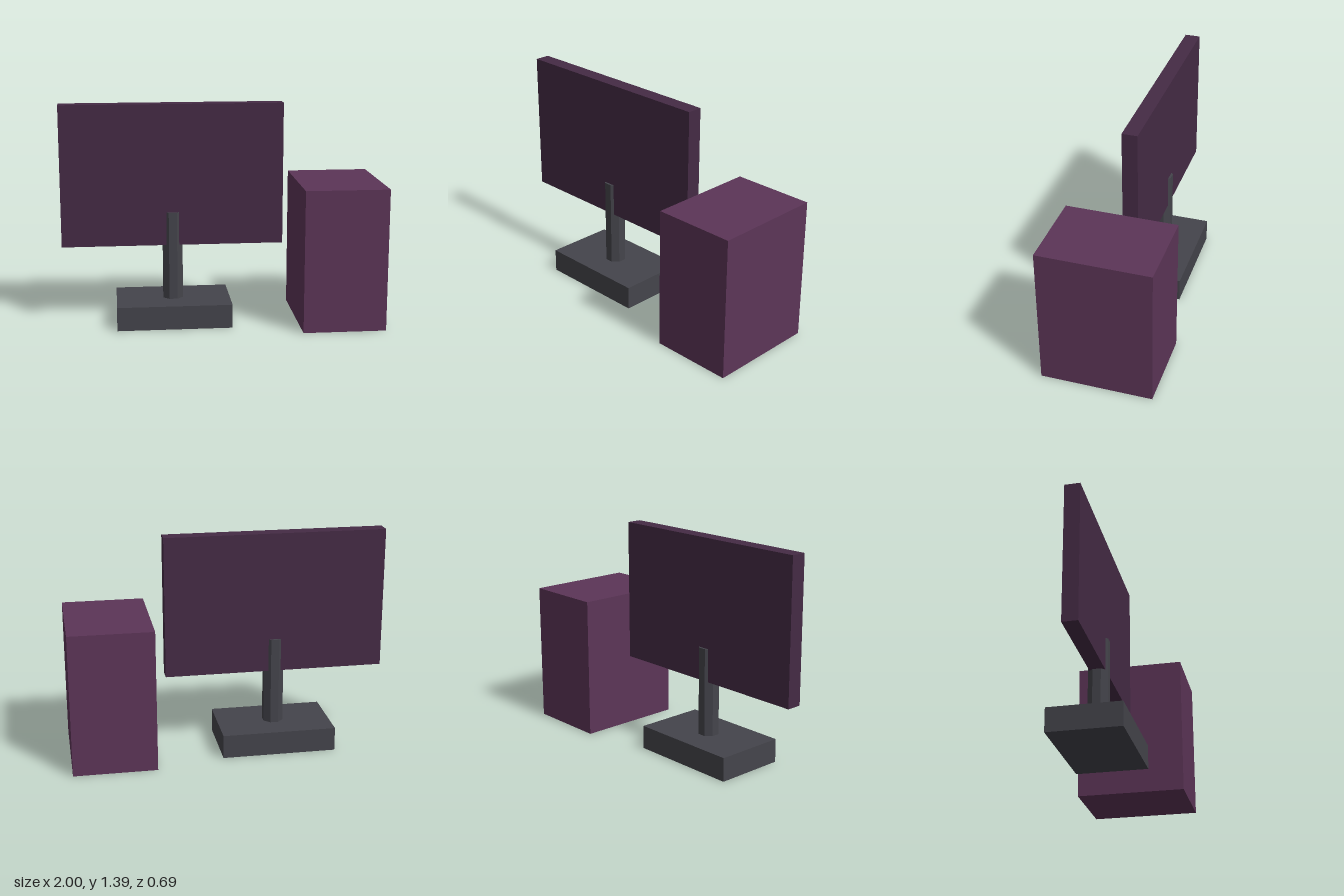
import * as THREE from 'three';

const purple = new THREE.MeshStandardMaterial({ color: 0x5c3557 });
const darkPurple = new THREE.MeshStandardMaterial({ color: 0x452b45 });
const slate = new THREE.MeshStandardMaterial({ color: 0x44444b, flatShading: true });

// Box given by its size, and the centre of its underside
function box(name, material, [w, h, d], [x, y, z]) {
  const mesh = new THREE.Mesh(new THREE.BoxGeometry(w, h, d), material);
  mesh.name = name;
  mesh.position.set(x, y + h / 2, z);
  return mesh;
}

export function createModel() {
  const group = new THREE.Group();
  group.name = 'desktopComputer';
  const standX = -0.305, standZ = -0.025;

  // Monitor on a slab foot
  group.add(box('screen', darkPurple, [1.39, 0.89, 0.096], [standX, 0.5, standZ]));
  group.add(box('monitorBase', slate, [0.72, 0.15, 0.45], [standX, 0, standZ]));

  // Octagonal post with a flat to the front, running up through the screen
  const top = 0.71, bottom = 0.1;
  const postGeometry = new THREE.CylinderGeometry(0.067, 0.067, top - bottom, 8);
  postGeometry.rotateY(Math.PI / 8);
  const post = new THREE.Mesh(postGeometry, slate);
  post.name = 'post';
  post.position.set(standX, (top + bottom) / 2, standZ);
  group.add(post);

  // Computer case beside the monitor
  group.add(box('computerCase', purple, [0.52, 0.895, 0.695], [0.74, 0, 0]));

  return group;
}
